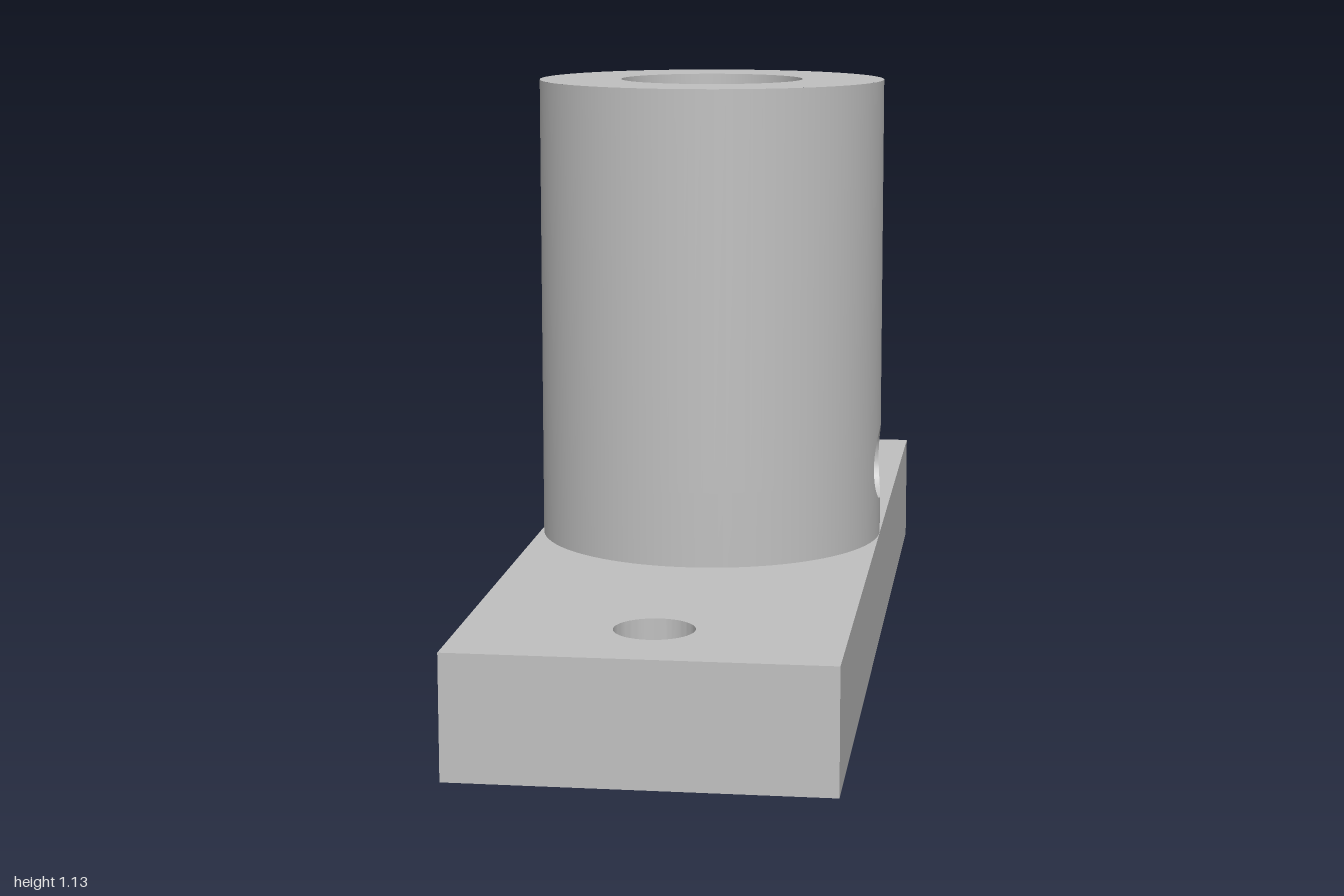
import * as THREE from 'three';
import { toCreasedNormals } from 'three/addons/utils/BufferGeometryUtils.js';

const LENGTH = 1.98, WIDTH = 0.677, PLATE_TOP = 0.226, TOP = 1.13;
const OUTER = 0.338, BORE = 0.178;
const PIN = 0.071, PIN_Y = 0.37;       // cross hole through the tube wall
const BOLT = 0.072, BOLT_Z = 0.793;    // mounting holes in the plate
const TILT = -0.0285;                  // slight turn about the vertical axis

// Collects quads with explicit normals; corners run counter-clockwise.
function quadGeometry(quads) {
  const pos = [], nor = [];
  for (const q of quads) {
    for (const i of [0, 1, 2, 0, 2, 3]) {
      pos.push(...q[i].p);
      nor.push(...q[i].n);
    }
  }
  const g = new THREE.BufferGeometry();
  g.setAttribute('position', new THREE.Float32BufferAttribute(pos, 3));
  g.setAttribute('normal', new THREE.Float32BufferAttribute(nor, 3));
  return g;
}

// Half of a cylindrical wall facing +x, with the pin hole cut out of it.
function halfWall(radius, facing) {
  const columns = [];
  const edge = Math.asin(PIN / radius), steps = 16, rest = 20;
  for (let i = 1; i <= rest; i++) {
    const a = edge + (Math.PI / 2 - edge) * i / rest;
    columns.push({ a, gap: 0 }, { a: -a, gap: 0 });
  }
  for (let i = 0; i <= steps; i++) {
    const t = Math.PI * (i / steps - 0.5);
    columns.push({ a: Math.asin(PIN * Math.sin(t) / radius), gap: PIN * Math.cos(t) });
  }
  columns.sort((m, n) => m.a - n.a);

  const vertex = (a, y) => ({
    p: [radius * Math.cos(a), y, -radius * Math.sin(a)],
    n: [facing * Math.cos(a), 0, -facing * Math.sin(a)],
  });
  const quads = [];
  for (let i = 0; i < columns.length - 1; i++) {
    const l = columns[i], r = columns[i + 1];
    const strips = [
      [vertex(l.a, PLATE_TOP), vertex(r.a, PLATE_TOP), vertex(r.a, PIN_Y - r.gap), vertex(l.a, PIN_Y - l.gap)],
      [vertex(l.a, PIN_Y + l.gap), vertex(r.a, PIN_Y + r.gap), vertex(r.a, TOP), vertex(l.a, TOP)],
    ];
    for (const s of strips) quads.push(facing > 0 ? s : s.reverse());
  }
  return quadGeometry(quads);
}

// Lining of the pin hole, from the bore to the outside.
function pinHoleLining() {
  const n = 32, quads = [];
  const vertex = (radius, t) => {
    const z = PIN * Math.sin(t);
    return {
      p: [Math.sqrt(radius * radius - z * z), PIN_Y + PIN * Math.cos(t), z],
      n: [0, -Math.cos(t), -Math.sin(t)],
    };
  };
  for (let i = 0; i < n; i++) {
    const a = i / n * Math.PI * 2, b = (i + 1) / n * Math.PI * 2;
    quads.push([vertex(BORE, a), vertex(OUTER, a), vertex(OUTER, b), vertex(BORE, b)]);
  }
  return quadGeometry(quads);
}

// Rectangular plate with the bore and two mounting holes.
function plateGeometry() {
  const w = WIDTH / 2, l = LENGTH / 2;
  const shape = new THREE.Shape([[-w, -l], [w, -l], [w, l], [-w, l]].map(([x, y]) => new THREE.Vector2(x, y)));
  for (const [y, r] of [[0, BORE], [BOLT_Z, BOLT], [-BOLT_Z, BOLT]]) {
    shape.holes.push(new THREE.Path().absarc(0, y, r, 0, Math.PI * 2, true));
  }
  const g = new THREE.ExtrudeGeometry(shape, { depth: PLATE_TOP, bevelEnabled: false, curveSegments: 48 });
  g.rotateX(-Math.PI / 2);
  return toCreasedNormals(g, 0.6);
}

export function createModel() {
  const model = new THREE.Group();
  model.name = 'tubeMount';
  const steel = new THREE.MeshStandardMaterial({ color: 0xc0c0c0 });
  steel.name = 'greySteel';

  const add = (parent, name, geometry) => {
    const mesh = new THREE.Mesh(geometry, steel);
    mesh.name = name;
    parent.add(mesh);
    return mesh;
  };

  const body = new THREE.Group();
  body.name = 'body';
  body.rotation.y = TILT;
  model.add(body);

  add(body, 'basePlate', plateGeometry());

  // Upright tube: two mirrored halves and a flat rim
  const tube = new THREE.Group();
  tube.name = 'tube';
  body.add(tube);
  const outer = halfWall(OUTER, 1), inner = halfWall(BORE, -1), lining = pinHoleLining();
  for (const side of ['left', 'right']) {
    const half = new THREE.Group();
    half.name = side + 'TubeHalf';
    half.rotation.y = side === 'left' ? 0 : Math.PI;
    add(half, side + 'OuterWall', outer);
    add(half, side + 'BoreWall', inner);
    add(half, side + 'PinHole', lining);
    tube.add(half);
  }
  const rim = add(tube, 'tubeRim', new THREE.RingGeometry(BORE, OUTER, 80).rotateX(-Math.PI / 2));
  rim.position.y = TOP;

  return model;
}
